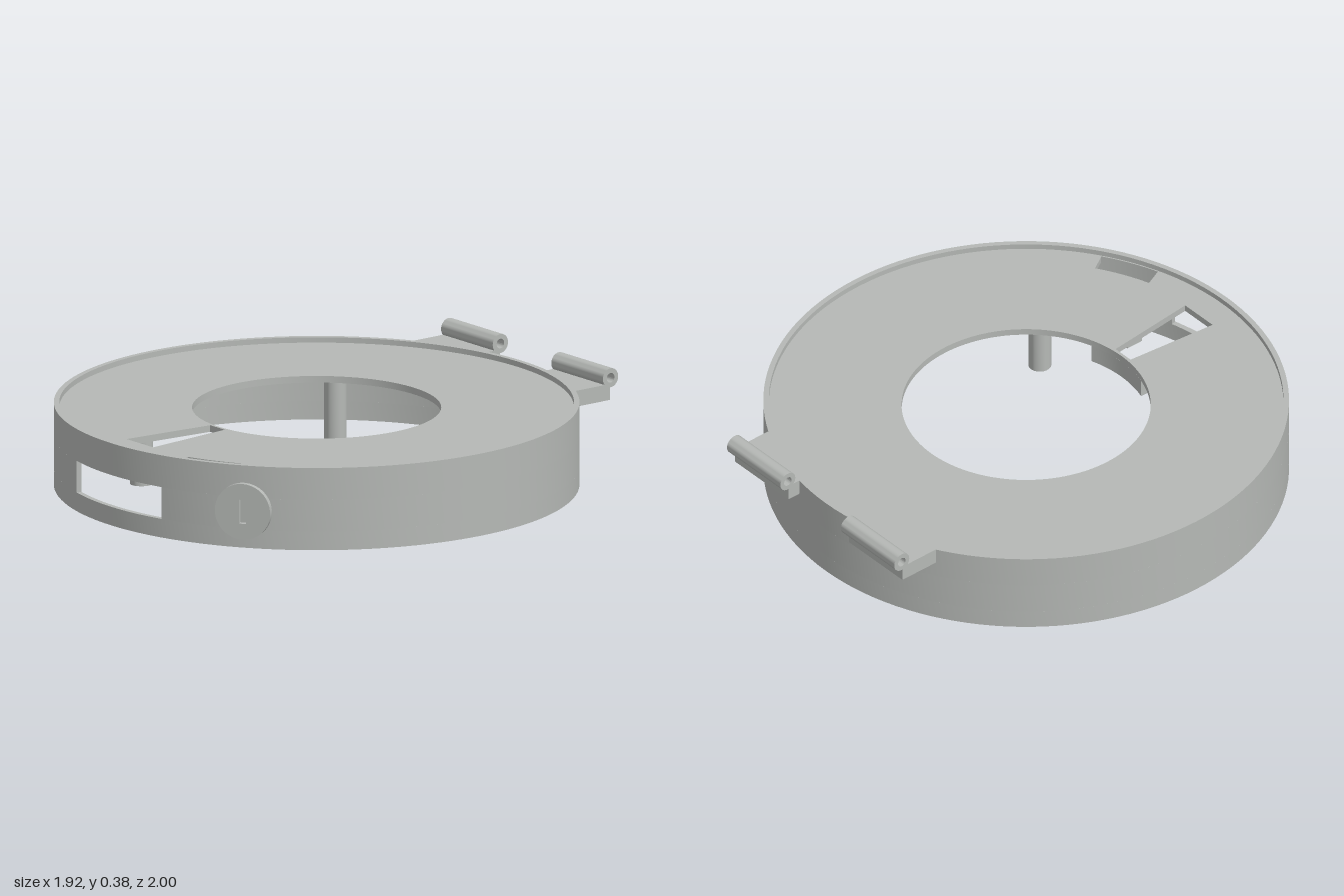
import * as THREE from 'three';
import { toCreasedNormals } from 'three/addons/utils/BufferGeometryUtils.js';

const grey = new THREE.MeshStandardMaterial({ color: 0xb5b8b5 });
grey.name = 'grey plastic';

const TAU = Math.PI * 2, DEG = Math.PI / 180;
const OUTER = 0.96, INNER = 0.94, HOLE = 0.455;

// Plan-view point (x, z) and arc points; angles run from +z towards +x
const pt = (x, z) => new THREE.Vector2(x, -z);
const arc = (r, a0, a1, n = 24) => Array.from({ length: n + 1 }, (_, i) => {
  const a = a0 + (a1 - a0) * i / n;
  return pt(r * Math.sin(a), r * Math.cos(a));
});
const circle = (r, n = 128) => arc(r, 0, TAU, n).slice(0, -1);

export function createModel() {
  const model = new THREE.Group();
  const body = new THREE.Group();
  body.name = 'housing';
  body.position.z = 0.037;
  model.add(body);

  const add = (name, geometry, parent = body) => {
    const mesh = new THREE.Mesh(geometry, grey);
    mesh.name = name;
    parent.add(mesh);
    return mesh;
  };

  // Extrude an outline along its own axis
  const extrude = (outline, holes, depth) => {
    const shape = new THREE.Shape(outline);
    shape.holes = holes.map(h => new THREE.Path(h));
    return toCreasedNormals(new THREE.ExtrudeGeometry(shape, { depth, bevelEnabled: false }), 30 * DEG);
  };
  // Extrude a plan outline upwards between two heights
  const slab = (name, outline, holes, y0, y1) =>
    add(name, extrude(outline, holes, y1 - y0).rotateX(-Math.PI / 2).translate(0, y0, 0));

  // Outer wall in three bands, the middle one open at the front window
  const gap = Math.asin(0.247 / OUTER);
  slab('lowerWall', circle(OUTER), [circle(INNER)], 0.015, 0.085);
  slab('windowWall', [...arc(OUTER, gap, TAU - gap, 116), ...arc(INNER, TAU - gap, gap, 116)], [], 0.085, 0.205);
  slab('upperWall', circle(OUTER), [circle(INNER)], 0.205, 0.325);

  // Deck with centre hole, tapered slot and latch opening
  const slot = [pt(-0.042, 0.466), pt(0.042, 0.466), pt(0.077, 0.83), pt(-0.077, 0.83)];
  const latchOpening = [...arc(0.86, 18 * DEG, 32.4 * DEG, 8), ...arc(0.935, 32.4 * DEG, 18.5 * DEG, 8)];
  slab('deck', circle(0.948), [circle(HOLE), slot, latchOpening], 0.28, 0.305);

  // Frame under the tapered slot with a small side tab
  const frameAngle = Math.asin(0.14 / HOLE);
  slab('slotFrame', [...arc(HOLE, -frameAngle, frameAngle, 10), pt(0.14, 0.86), pt(-0.14, 0.86)], [slot], 0.21, 0.28);
  add('frameTab', new THREE.BoxGeometry(0.06, 0.06, 0.07).translate(0.145, 0.237, 0.62));

  // Hollow posts
  const tube = (r, bore, depth) => extrude(circle(r, 32), [circle(bore, 24)], depth);
  for (const x of [-0.455, 0.455]) {
    for (const z of [-0.455, 0.455]) {
      add('post', tube(0.042, 0.019, 0.285).rotateX(-Math.PI / 2).translate(x, 0, z));
    }
  }

  // Hinge brackets and barrels at the back
  for (const side of [-1, 1]) {
    const a0 = Math.PI - Math.asin(0.17 / 0.95), a1 = Math.PI - Math.asin(0.47 / 0.95);
    const outline = [...arc(0.95, side * a0, side * a1, 10), pt(side * 0.47, -0.997), pt(side * 0.17, -0.997)];
    slab('hingeBracket', outline, [], 0.265, 0.325);
    add('hingeBarrel', tube(0.036, 0.018, 0.3).rotateY(Math.PI / 2)
      .translate(side * 0.32 - 0.15, 0.348, -1.0));
  }

  // Lock: slotted face disc, barrel behind it and a latch arm
  const lock = new THREE.Group();
  lock.name = 'lock';
  lock.position.y = 0.155;
  lock.rotation.y = 35 * DEG;
  body.add(lock);
  const keySlot = [pt(-0.013, -0.045), pt(0.013, -0.045), pt(0.013, 0.045), pt(-0.013, 0.045)];
  add('lockFace', extrude(circle(0.105, 64), [keySlot], 0.025).translate(0, 0, 0.955), lock);
  add('lockBarrel', new THREE.CylinderGeometry(0.065, 0.065, 0.06, 40)
    .rotateX(Math.PI / 2).translate(0, 0, 0.93), lock);
  add('latchArm', new THREE.BoxGeometry(0.15, 0.06, 0.03).translate(-0.045, 0, 0.9), lock);

  return model;
}
